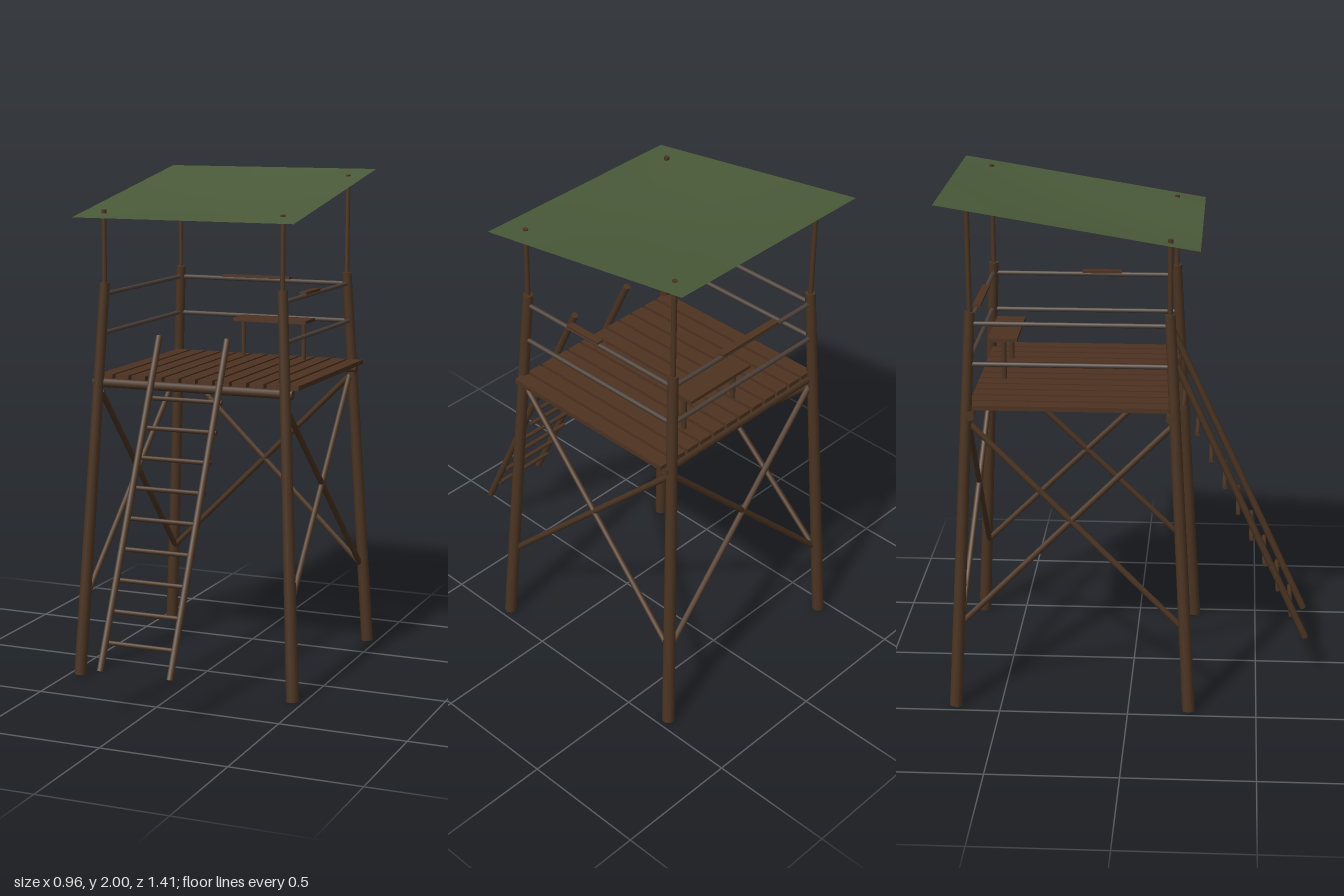
import * as THREE from 'three';

const CZ = -0.22; // centre of the tower in z

export function createModel() {
  const model = new THREE.Group();
  const pole = new THREE.MeshStandardMaterial({ color: 0x4b3422 });
  pole.name = 'pole wood';
  const plank = new THREE.MeshStandardMaterial({ color: 0x4d3220 });
  plank.name = 'plank wood';
  const rail = new THREE.MeshStandardMaterial({ color: 0x4e423a });
  rail.name = 'weathered rail wood';
  const canvas = new THREE.MeshStandardMaterial({ color: 0x4a5a39, side: THREE.DoubleSide });
  canvas.name = 'green canvas';

  function group(name) {
    const g = new THREE.Group();
    g.name = name;
    model.add(g);
    return g;
  }
  // Round pole between two points
  function rod(parent, name, a, b, r0, r1 = r0, mat = pole, sides = 8) {
    const A = new THREE.Vector3(...a), B = new THREE.Vector3(...b);
    const dir = B.clone().sub(A);
    const mesh = new THREE.Mesh(new THREE.CylinderGeometry(r1, r0, dir.length(), sides), mat);
    mesh.position.copy(A).add(B).multiplyScalar(0.5);
    mesh.quaternion.setFromUnitVectors(new THREE.Vector3(0, 1, 0), dir.normalize());
    mesh.name = name;
    parent.add(mesh);
  }
  function box(parent, name, size, pos) {
    const mesh = new THREE.Mesh(new THREE.BoxGeometry(...size), plank);
    mesh.position.set(...pos);
    mesh.name = name;
    parent.add(mesh);
  }
  // Half spread of the leaning legs at height y
  const spread = (y) => 0.457 - 0.0535 * y;
  const corner = (sx, sz, y, inset = 0) => [sx * (spread(y) - inset), y, CZ + sz * (spread(y) - inset)];

  // Legs and thin canopy posts
  const legs = group('legs'), posts = group('canopyPosts');
  for (const sx of [-1, 1]) {
    for (const sz of [-1, 1]) {
      rod(legs, 'leg', corner(sx, sz, 0), corner(sx, sz, 1.58), 0.025, 0.02, pole, 10);
      const z = CZ + sz * 0.373;
      rod(posts, 'canopyPost', [sx * 0.373, 1.5, z], [sx * 0.373, sz > 0 ? 1.865 : 1.98, z], 0.01);
    }
  }

  // Crossed braces and handrails on both sides and the back
  const braces = group('braces'), rails = group('handrails');
  const faces = [
    [[-1, -1], [1, -1]],
    [[-1, -1], [-1, 1]],
    [[1, -1], [1, 1]],
  ];
  for (const [p, q] of faces) {
    rod(braces, 'brace', corner(...p, 0.34, 0.01), corner(...q, 1.15, 0.01), 0.012);
    rod(braces, 'brace', corner(...q, 0.34, 0.01), corner(...p, 1.15, 0.01), 0.012);
    for (const y of [1.38, 1.535]) rod(rails, 'handrail', corner(...p, y), corner(...q, y), 0.009, 0.009, rail);
  }
  // Small rests on top of the rails
  box(rails, 'backRest', [0.3, 0.01, 0.03], [-0.025, 1.547, CZ - 0.373]);
  box(rails, 'sideRest', [0.03, 0.01, 0.16], [0.373, 1.547, -0.15]);

  // Deck: two bearers under twelve planks
  const deck = group('deck');
  for (const z of [0.158, -0.598]) rod(deck, 'bearer', [-0.42, 1.184, z], [0.42, 1.184, z], 0.018);
  for (let i = 0; i < 12; i++) {
    box(deck, 'deckPlank', [0.058, 0.018, 0.77], [0.415 - i * 0.071, 1.211, CZ]);
  }

  // Bench
  const bench = group('bench');
  box(bench, 'benchSeat', [0.32, 0.014, 0.115], [0.085, 1.381, -0.51]);
  for (const x of [-0.05, 0.218]) rod(bench, 'benchLeg', [x, 1.22, -0.507], [x, 1.376, -0.507], 0.01);

  // Ladder
  const ladder = group('ladder');
  for (const x of [-0.143, 0.143]) rod(ladder, 'ladderRail', [x, 0.178, 0.695], [x, 1.38, 0.142], 0.014);
  for (let i = 0; i < 9; i++) {
    const y = 0.275 + i * 0.1085, z = 0.635 - i * 0.0545;
    rod(ladder, 'rung', [-0.145, y, z], [0.145, y, z], 0.009);
  }

  // Sloping canvas roof sagging in the middle
  const roofGeo = new THREE.PlaneGeometry(0.914, 0.97, 4, 4).rotateX(-Math.PI / 2);
  const pos = roofGeo.attributes.position;
  for (let i = 0; i < pos.count; i++) {
    const u = pos.getX(i) / 0.457, v = pos.getZ(i) / 0.485;
    pos.setY(i, 1.92 - 0.08 * v - 0.034 * (1 - u * u) * (1 - v * v));
  }
  roofGeo.computeVertexNormals();
  const roof = new THREE.Mesh(roofGeo, canvas);
  roof.position.z = CZ;
  roof.name = 'canvasRoof';
  model.add(roof);

  return model;
}
